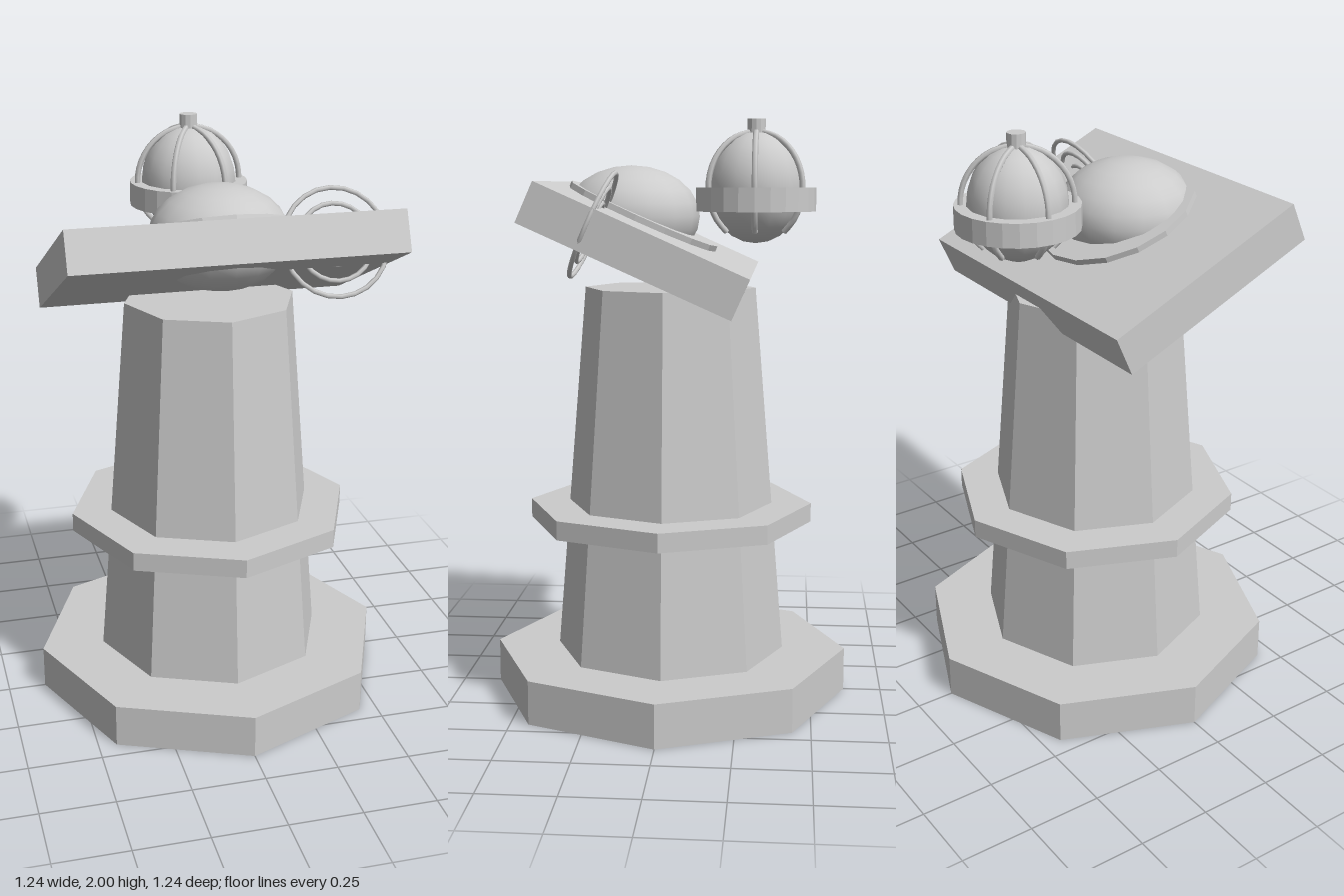
import * as THREE from 'three';

export function createModel() {
  const model = new THREE.Group();
  model.name = 'pedestalWithSlabAndLantern';

  const stone = new THREE.MeshStandardMaterial({ color: 0xcccccc });
  stone.name = 'pale grey';
  const facetedStone = stone.clone();
  facetedStone.flatShading = true;

  function add(parent, name, geometry, material, x = 0, y = 0, z = 0) {
    const mesh = new THREE.Mesh(geometry, material);
    mesh.name = name;
    mesh.position.set(x, y, z);
    parent.add(mesh);
    return mesh;
  }

  // Eight-sided prism between two heights
  function octagon(name, rTop, rBottom, y0, y1) {
    const geometry = new THREE.CylinderGeometry(rTop, rBottom, y1 - y0, 8);
    add(model, name, geometry, facetedStone, 0, (y0 + y1) / 2, 0);
  }

  // Pedestal
  octagon('base', 0.62, 0.62, 0, 0.15);
  octagon('column', 0.295, 0.4, 0.15, 1.43);
  octagon('collar', 0.495, 0.495, 0.61, 0.675);

  // Tilted slab with its disc and rings
  const top = new THREE.Group();
  top.name = 'tiltedTop';
  top.position.set(0, 1.577, 0.073);
  top.rotation.x = -0.42;
  model.add(top);
  add(top, 'slab', new THREE.BoxGeometry(1.095, 0.14, 0.735), facetedStone);
  add(top, 'domeRim', new THREE.CylinderGeometry(0.275, 0.275, 0.03, 16), facetedStone, 0, 0.075, 0.057);
  for (const radius of [0.075, 0.128, 0.18]) {
    add(top, 'ring', new THREE.TorusGeometry(radius, 0.008, 6, 24), stone, 0.37, 0.01, 0.162);
  }

  // Flattened dome sunk into the slab
  const dome = add(model, 'dome', new THREE.SphereGeometry(0.235, 16, 12), stone, 0, 1.673, 0.133);
  dome.scale.y = 0.735;

  // Caged ball behind the dome
  const lantern = new THREE.Group();
  lantern.name = 'lantern';
  lantern.position.set(0, 1.77, -0.293);
  model.add(lantern);
  const ball = add(lantern, 'lanternBall', new THREE.SphereGeometry(0.165, 16, 12), stone);
  ball.scale.y = 1.14;
  add(lantern, 'lanternBand', new THREE.CylinderGeometry(0.205, 0.205, 0.08, 24), facetedStone, 0, -0.04, 0);
  add(lantern, 'lanternStem', new THREE.CylinderGeometry(0.031, 0.031, 0.07, 12), facetedStone, 0, 0.195, 0);

  // Six curved ribs around the ball
  const points = [];
  for (let i = 0; i <= 8; i++) {
    const a = THREE.MathUtils.degToRad(82 - i * 16.75);
    points.push(new THREE.Vector3(0.182 * Math.cos(a), 0.188 * Math.sin(a), 0));
  }
  const ribGeometry = new THREE.TubeGeometry(new THREE.CatmullRomCurve3(points), 16, 0.01, 6);
  for (let i = 0; i < 6; i++) {
    add(lantern, 'lanternRib', ribGeometry, stone).rotation.y = (i * Math.PI) / 3;
  }

  return model;
}
